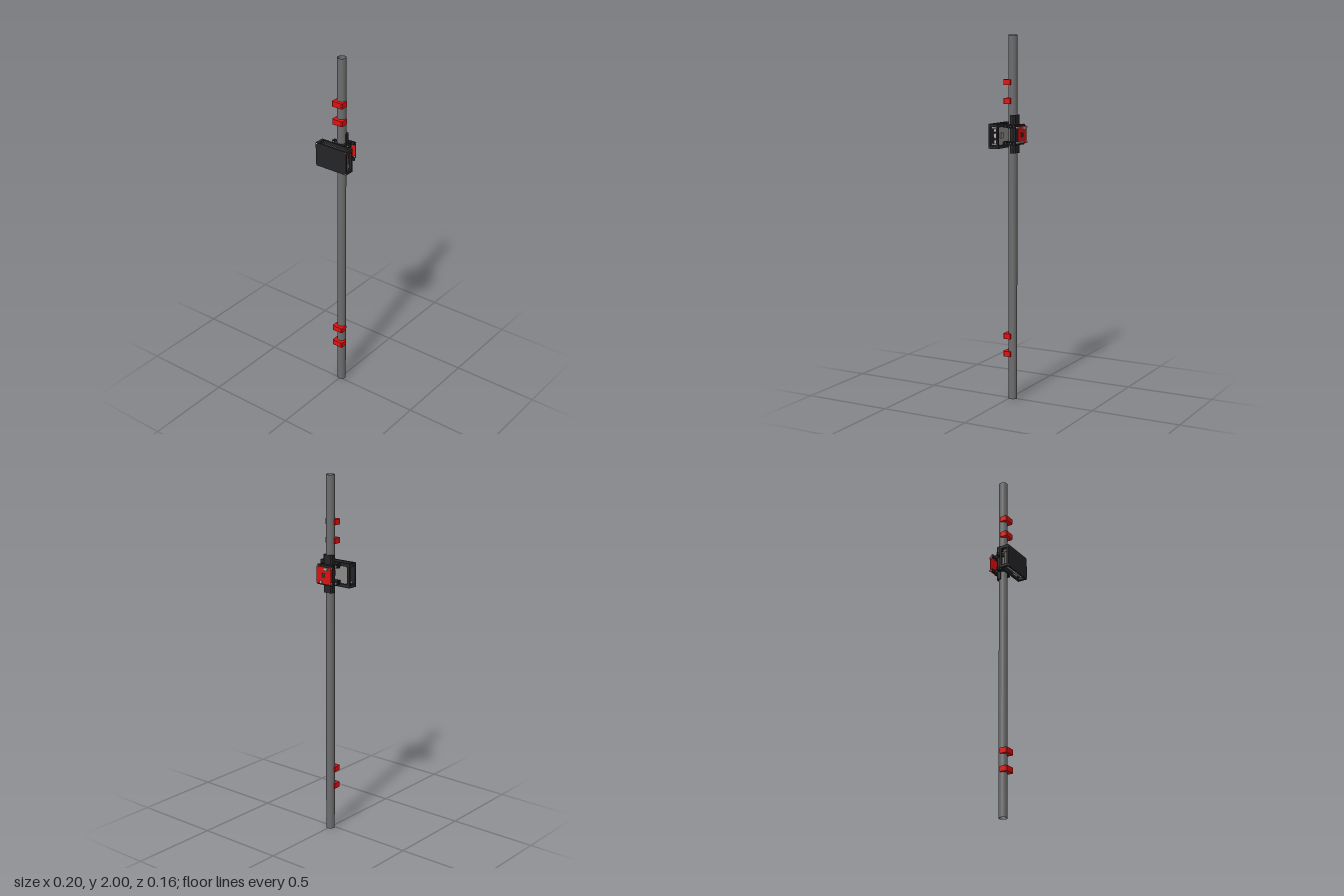
import * as THREE from 'three';

const mat = (color) => new THREE.MeshStandardMaterial({ color });
const RED = mat(0xe01010), BLACK = mat(0x252527), POLE = mat(0x6c6c6e), METAL = mat(0xb4b4b6);
const GREY = mat(0x8d8a88), GOLD = mat(0x6e5c1c), DARK = mat(0x303030);
const CZ = -0.016, R = 0.024, CY = 1.47; // pole axis z, pole radius, clamp height

export function createModel() {
  const model = new THREE.Group();

  const add = (name, geometry, material, parent = model) => {
    const mesh = new THREE.Mesh(geometry, material);
    mesh.name = name;
    parent.add(mesh);
    return mesh;
  };
  // Box from its centre and size
  const box = (name, x, y, z, w, h, d, material, parent) =>
    add(name, new THREE.BoxGeometry(w, h, d).translate(x, y, z), material, parent);
  // Cylinder along z
  const rod = (name, x, y, z, r, length, material, parent) =>
    add(name, new THREE.CylinderGeometry(r, r, length, 16).rotateX(Math.PI / 2).translate(x, y, z), material, parent);
  // Plan shape (x, z) extruded upward from y0 to y1
  const plan = (name, shape, y0, y1, material, parent) =>
    add(name, new THREE.ExtrudeGeometry(shape, { depth: y1 - y0, bevelEnabled: false, curveSegments: 24 })
      .rotateX(Math.PI / 2).translate(0, y1, 0), material, parent);
  // Half-round saddle against the pole; half is the right side of the outline, mirrored
  const saddle = (half, z, front) => {
    const s = new THREE.Shape();
    s.moveTo(-half[0][0], z);
    s.lineTo(-R, z);
    s.absarc(0, CZ, R, Math.PI, front ? 0 : Math.PI * 2, front);
    half.forEach(([x, pz]) => s.lineTo(x, pz));
    [...half].reverse().forEach(([x, pz]) => s.lineTo(-x, pz));
    return s;
  };

  // Hollow pole
  const ring = new THREE.Shape().absarc(0, CZ, R, 0, Math.PI * 2);
  ring.holes.push(new THREE.Path().absarc(0, CZ, R - 0.0015, 0, Math.PI * 2, true));
  plan('pole', ring, 0, 2, POLE);

  // Red clips on the front of the pole
  const clip = saddle([[0.033, CZ], [0.033, 0.022], [0.028, 0.027]], CZ, true);
  [0.257, 0.357, 1.65, 1.75].forEach((y) => plan('clip', clip, y - 0.015, y + 0.015, RED));

  // Pole clamp: pairs of front and back jaws with ears, joined by a long back sleeve
  const clamp = new THREE.Group();
  clamp.name = 'clamp';
  model.add(clamp);
  const frontJaw = saddle([[0.057, -0.014], [0.057, -0.006], [0.037, -0.006], [0.033, -0.002],
    [0.033, 0.017], [0.039, 0.023]], -0.014, true);
  const backJaw = saddle([[0.057, -0.018], [0.057, -0.026], [0.037, -0.026], [0.033, -0.03],
    [0.033, -0.048], [0.037, -0.052], [0.053, -0.052], [0.053, -0.06]], -0.018, false);
  [-1, 1].forEach((side) => {
    const y = CY + side * 0.046;
    plan('frontJaw', frontJaw, y - 0.009, y + 0.009, BLACK, clamp);
    plan('backJaw', backJaw, y - 0.009, y + 0.009, BLACK, clamp);
    [-1, 1].forEach((s) => rod('clampBolt', s * 0.047, y, CZ, 0.004, 0.026, METAL, clamp));
  });
  const sleeve = saddle([[0.031, CZ], [0.031, -0.034], [0.023, -0.043]], CZ, false);
  plan('backSleeve', sleeve, 1.37, 1.576, BLACK, clamp);

  // Open case: solid front, windowed back, sides, top and bottom
  const housing = new THREE.Group();
  housing.name = 'case';
  model.add(housing);
  const y0 = 1.397, y1 = 1.53, yc = (y0 + y1) / 2, h = y1 - y0;
  box('caseFront', 0, yc, 0.0735, 0.2, h, 0.009, BLACK, housing);
  const back = new THREE.Shape([[-0.1, y0], [0.1, y0], [0.1, y1], [-0.1, y1]].map((p) => new THREE.Vector2(...p)));
  back.holes.push(new THREE.Path([[-0.084, y0 + 0.018], [-0.084, y1 - 0.018], [0.084, y1 - 0.018], [0.084, y0 + 0.018]]
    .map((p) => new THREE.Vector2(...p))));
  add('caseBack', new THREE.ExtrudeGeometry(back, { depth: 0.009, bevelEnabled: false }).translate(0, 0, 0.022),
    BLACK, housing);
  [-1, 1].forEach((sx) => [-1, 1].forEach((sy) => {
    box('caseSideBar', sx * 0.0925, yc + sy * (h / 2 - 0.008), 0.05, 0.015, 0.016, 0.039, BLACK, housing);
    rod('caseScrew', sx * 0.094, yc + sy * 0.061, 0.0772, 0.003, 0.002, METAL, housing);
    rod('boardPost', sx * 0.077, yc + sy * 0.044, 0.051, 0.005, 0.038, METAL, housing);
  }));

  // Computer board in the case with pin header and sockets
  const board = new THREE.Group();
  board.name = 'computerBoard';
  model.add(board);
  box('boardPlate', 0, yc, 0.042, 0.164, 0.106, 0.004, GREY, board);
  box('chipCover', 0.025, yc, 0.038, 0.03, 0.03, 0.005, GREY, board);
  box('pinHeaderBase', -0.035, yc + 0.045, 0.047, 0.08, 0.01, 0.006, DARK, board);
  for (let i = 0; i < 16; i++) {
    box('headerPin', -0.072 + i * 0.005, yc + 0.045, 0.054, 0.0025, 0.008, 0.014, GOLD, board);
  }
  [-0.035, 0, 0.035].forEach((y) => box('socket', 0.053, yc + y, 0.053, 0.038, 0.028, 0.018, METAL, board));
  [-0.05, -0.012].forEach((x) => box('smallPort', x, yc - 0.043, 0.049, 0.02, 0.014, 0.01, METAL, board));

  // Red sensor board on the back of the clamp
  const sensor = new THREE.Group();
  sensor.name = 'sensorBoard';
  model.add(sensor);
  const plate = new THREE.Shape([[-0.05, -0.047], [0.05, -0.047], [0.05, 0.047], [-0.05, 0.047]]
    .map((p) => new THREE.Vector2(...p)));
  [-1, 1].forEach((sx) => [-1, 1].forEach((sy) => {
    plate.holes.push(new THREE.Path().absarc(sx * 0.043, sy * 0.04, 0.004, 0, Math.PI * 2, true));
    rod('standoff', sx * 0.043, CY + sy * 0.04, -0.066, 0.0055, 0.012, METAL, sensor);
    rod('standoffScrew', sx * 0.043, CY + sy * 0.04, -0.076, 0.005, 0.006, METAL, sensor);
  }));
  add('sensorPlate', new THREE.ExtrudeGeometry(plate, { depth: 0.003, bevelEnabled: false })
    .translate(0, CY, -0.073), RED, sensor);
  box('sensorChip', 0, CY, -0.0745, 0.024, 0.024, 0.004, DARK, sensor);
  box('connector', -0.015, CY + 0.036, -0.076, 0.024, 0.014, 0.008, METAL, sensor);
  box('connector', 0.014, CY - 0.036, -0.076, 0.014, 0.014, 0.008, METAL, sensor);

  return model;
}
